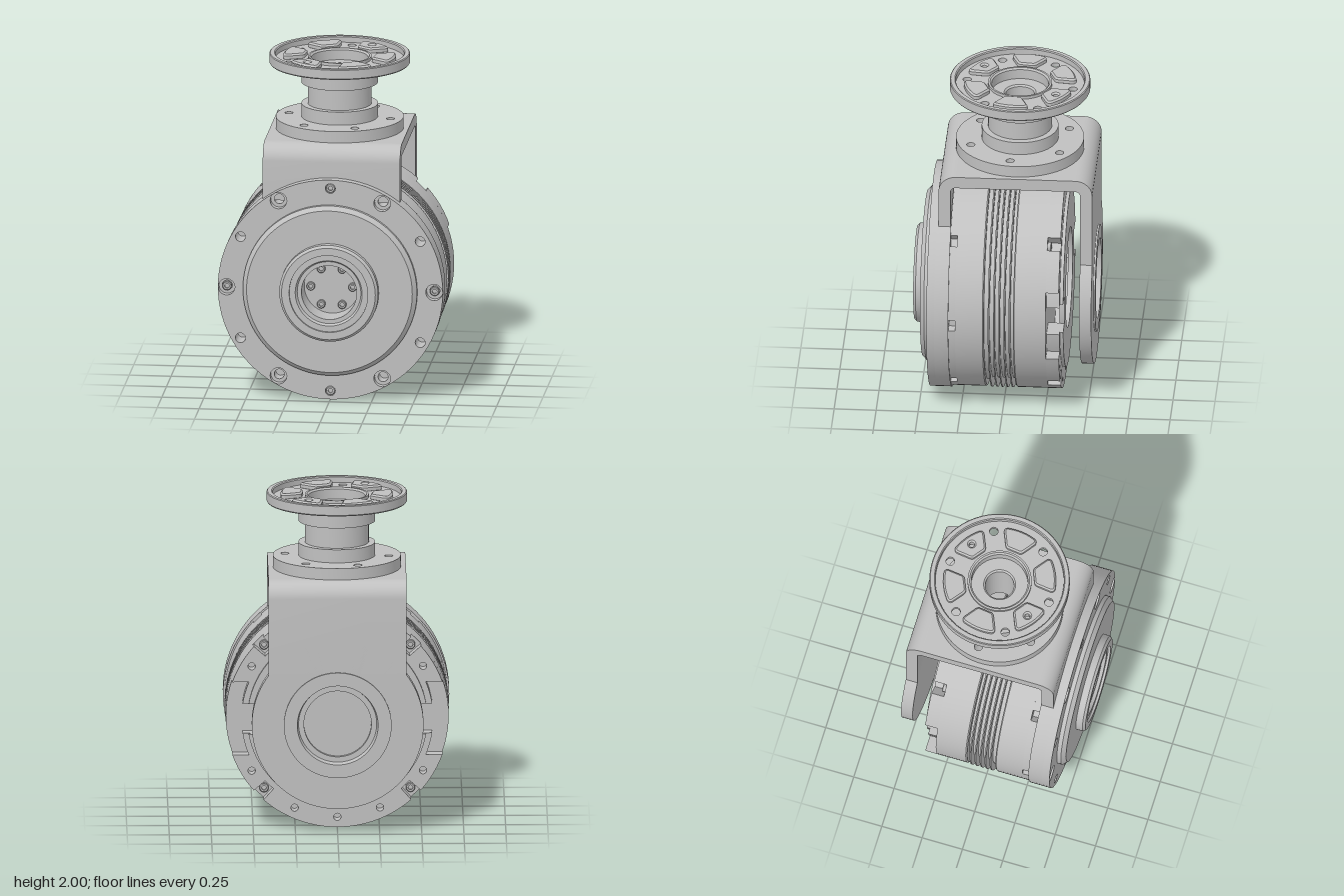
import * as THREE from 'three';
import { toCreasedNormals } from 'three/addons/utils/BufferGeometryUtils.js';

const AXIS_Y = 0.674;   // height of the drum axis
const MID_Z = -0.0725;  // middle of the yoke and column
const DEG = Math.PI / 180;

const steel = new THREE.MeshStandardMaterial({ color: 0xc0c0c0 });
steel.name = 'steel grey';

const v2 = (x, y) => new THREE.Vector2(x, y);
const polar = (r, deg) => v2(r * Math.cos(deg * DEG), r * Math.sin(deg * DEG));

function add(parent, name, geometry, x = 0, y = 0, z = 0) {
  const mesh = new THREE.Mesh(toCreasedNormals(geometry, 0.45), steel);
  mesh.name = name;
  mesh.position.set(x, y, z);
  parent.add(mesh);
  return mesh;
}

// points along an arc in degrees
function arc(r, a0, a1, step = 4) {
  const n = Math.max(1, Math.round(Math.abs(a1 - a0) / step));
  return Array.from({ length: n + 1 }, (_, i) => polar(r, a0 + (a1 - a0) * i / n));
}

function circle(r, cx = 0, cy = 0, n = 20) {
  return Array.from({ length: n }, (_, i) => polar(r, i * 360 / n).add(v2(cx, cy)));
}

// outer arc interrupted by rectangular pockets
function pocketArc(r, a0, a1, pockets, half, depth) {
  const pts = [];
  let a = a0;
  for (const p of pockets) {
    pts.push(...arc(r, a, p - half), ...arc(r - depth, p - half, p + half));
    a = p + half;
  }
  return pts.concat(arc(r, a, a1));
}

// plate between two depths; holes are lists of points
function plate(points, holes, from, to) {
  const shape = new THREE.Shape(points);
  for (const h of holes) shape.holes.push(new THREE.Path(h));
  const g = new THREE.ExtrudeGeometry(shape, { depth: to - from, bevelEnabled: false });
  return g.translate(0, 0, from);
}

const boltCircle = (r, holeR, angles) => angles.map(a => {
  const p = polar(r, a);
  return circle(holeR, p.x, p.y);
});
const every = (step, start = 0) => Array.from({ length: 360 / step }, (_, i) => start + i * step);
const disc = r => circle(r, 0, 0, 96);
const lathe = (profile, n = 96) => new THREE.LatheGeometry(profile.map(p => v2(...p)), n);
const latheZ = (profile, n) => lathe(profile, n).rotateX(Math.PI / 2);
const upright = g => g.rotateX(-Math.PI / 2);

// socket-head screw pointing along +z
function screw(parent, x, y, z, r = 0.025) {
  return add(parent, 'screw', latheZ([[0, 0], [r, 0], [r, 0.018], [r * 0.85, 0.022],
    [r * 0.5, 0.022], [r * 0.5, 0.008], [0, 0.008]], 18), x, y, z);
}

function buildDrum() {
  const drum = new THREE.Group();
  drum.name = 'drum';
  drum.position.y = AXIS_Y;

  // front flange with plain and counterbored holes
  const plain = every(60, 30), bored = every(60);
  add(drum, 'frontFlangeBack', plate(disc(0.672), [disc(0.48),
    ...boltCircle(0.62, 0.03, [...plain, ...bored])], 0.31, 0.395));
  add(drum, 'frontFlange', plate(disc(0.672), [disc(0.48),
    ...boltCircle(0.62, 0.03, plain), ...boltCircle(0.62, 0.05, bored)], 0.395, 0.44));
  for (const a of [0, 90, 180, 270]) {
    const p = polar(0.62, a);
    screw(drum, p.x, p.y, a % 180 ? 0.415 : 0.395, 0.028);
  }

  // stepped front hub with recessed bore
  add(drum, 'frontHub', latheZ([[0, 0.3], [0.52, 0.3], [0.52, 0.465], [0.495, 0.49],
    [0.295, 0.49], [0.295, 0.53], [0.28, 0.545], [0.235, 0.545], [0.235, 0.53], [0.2, 0.53],
    [0.19, 0.51], [0.165, 0.51], [0.165, 0.355], [0, 0.355]]));
  for (const a of every(60)) {
    const p = polar(0.125, a);
    screw(drum, p.x, p.y, 0.355);
  }

  // front casing, cut by pockets at its front edge
  const pockets = every(45);
  add(drum, 'frontCasingEdge', plate(pocketArc(0.662, -20, 340, pockets, 3, 0.06).slice(0, -1), [], 0.27, 0.31));
  add(drum, 'frontCasing', latheZ([[0, 0.1], [0.655, 0.1], [0.662, 0.107], [0.662, 0.27], [0, 0.27]]));

  // cooling fins on a smaller core
  add(drum, 'finCore', latheZ([[0.3, -0.08], [0.61, -0.08], [0.61, 0.075], [0.622, 0.075], [0.622, 0.101], [0.3, 0.101]]));
  for (let i = 0; i < 5; i++) {
    const z = -0.053 + i * 0.031;
    add(drum, 'coolingFin', latheZ([[0.58, z - 0.004], [0.665, z - 0.004], [0.665, z + 0.004], [0.58, z + 0.004]]));
  }

  // rear casing and its open rear ring, split by stepped side notches
  add(drum, 'rearCasing', latheZ([[0, -0.268], [0.662, -0.268], [0.662, -0.082], [0.655, -0.075], [0, -0.075]]));
  for (const turn of [0, 180]) {
    const outline = [
      ...pocketArc(0.662, 19.5, 160.5, [45, 135], 3.5, 0.09),
      ...arc(0.57, 157, 171), ...arc(0.42, 167.5, 12.5), ...arc(0.57, 9, 23),
    ];
    const ring = plate(outline, boltCircle(0.6, 0.022, [32, 65, 90, 115, 148]), -0.345, -0.268);
    add(drum, 'rearRing', ring.rotateZ(turn * DEG));
    const lip = plate([...arc(0.535, 10, 170), ...arc(0.42, 167.5, 12.5)], [], -0.365, -0.337);
    add(drum, 'rearLip', lip.rotateZ(turn * DEG));
    for (const a of [45, 135]) {
      const p = polar(0.615, a + turn);
      screw(drum, p.x, p.y, -0.268, 0.028).rotation.x = Math.PI;
    }
  }
  add(drum, 'rearCover', plate(disc(0.425), [disc(0.3)], -0.365, -0.337));
  return drum;
}

function buildYoke() {
  const yoke = new THREE.Group();
  yoke.name = 'yoke';
  yoke.position.z = MID_Z;
  const H = 0.4575, T = 0.072, R = 0.1, W = 0.82, top = 1.54;

  // top plate
  const w = W / 2, s = H - R;
  add(yoke, 'yokeTop', upright(plate([v2(-w, -s), v2(w, -s), v2(w, s), v2(-w, s)],
    [circle(0.19, 0, 0, 48), ...boltCircle(0.31, 0.025, every(60, -7))], top - T, top)));

  // legs with rounded shoulders
  for (const [name, bottom, turn] of [['frontLeg', 1.2, -90], ['rearLeg', 0.97, 90]]) {
    const centre = v2(s, top - R);
    const pts = [
      ...arc(R, 90, 0, 9).map(p => p.add(centre)), v2(H, bottom), v2(H - T, bottom),
      ...arc(R - T, 0, 90, 15).map(p => p.add(centre)),
    ];
    add(yoke, name, plate(pts.reverse(), [], -w, w).rotateY(turn * DEG));
  }

  // round rear end with raised, recessed boss
  add(yoke, 'rearBearingPlate', latheZ([[0, -0.4], [0.2, -0.4], [0.2, -0.425], [0.232, -0.425],
    [0.24, -0.468], [0.32, -0.468], [0.32, -0.4575], [0.51, -0.4575], [0.51, -0.3855],
    [0, -0.3855]]), 0, AXIS_Y, 0);
  return yoke;
}

function buildColumn() {
  const column = new THREE.Group();
  column.name = 'column';
  column.position.z = MID_Z;

  // lower flange
  add(column, 'lowerFlange', upright(plate(disc(0.38),
    [circle(0.085, 0, 0, 40), ...boltCircle(0.31, 0.025, every(60, -7))], 1.54, 1.61)));

  // waisted neck with through bore and upper cup
  add(column, 'neck', lathe([[0.085, 1.54], [0.2, 1.55], [0.228, 1.6], [0.228, 1.69], [0.19, 1.69],
    [0.19, 1.82], [0.228, 1.82], [0.228, 1.92], [0.24, 1.938], [0.19, 1.945], [0.19, 1.98], [0.178, 1.98],
    [0.168, 1.97], [0.168, 1.91], [0.095, 1.91], [0.085, 1.9], [0.085, 1.54]]));

  // dished upper flange
  add(column, 'upperFlange', upright(plate(disc(0.408), [circle(0.18, 0, 0, 64),
    ...boltCircle(0.32, 0.026, every(60, 23)), ...boltCircle(0.28, 0.016, [53, 233])], 1.937, 1.962)));
  add(column, 'upperRim', lathe([[0.4, 1.935], [0.411, 1.935], [0.417, 1.942], [0.417, 1.995],
    [0.412, 2], [0.388, 2], [0.382, 1.994], [0.382, 1.955], [0.4, 1.935]]));

  // six raised wedge pads, two of them drilled
  for (const a of every(60, -7)) {
    const shape = new THREE.Shape();
    shape.moveTo(0.225, -0.05);
    shape.lineTo(0.295, -0.09);
    shape.quadraticCurveTo(0.31, -0.097, 0.315, -0.08);
    shape.quadraticCurveTo(0.335, 0, 0.315, 0.08);
    shape.quadraticCurveTo(0.31, 0.097, 0.295, 0.09);
    shape.lineTo(0.225, 0.05);
    shape.quadraticCurveTo(0.213, 0.042, 0.215, 0.03);
    shape.lineTo(0.215, -0.03);
    shape.quadraticCurveTo(0.213, -0.042, 0.225, -0.05);
    if (a === 53 || a === 233) shape.holes.push(new THREE.Path(circle(0.026, 0.28, 0)));
    const g = new THREE.ExtrudeGeometry(shape, { depth: 0.02, bevelThickness: 0.01,
      bevelSize: 0.01, bevelSegments: 1, curveSegments: 6 });
    add(column, 'wedgePad', upright(g.rotateZ(a * DEG)), 0, 1.963, 0);
  }
  return column;
}

export function createModel() {
  const model = new THREE.Group();
  model.name = 'driveUnit';
  model.add(buildDrum(), buildYoke(), buildColumn());
  return model;
}
